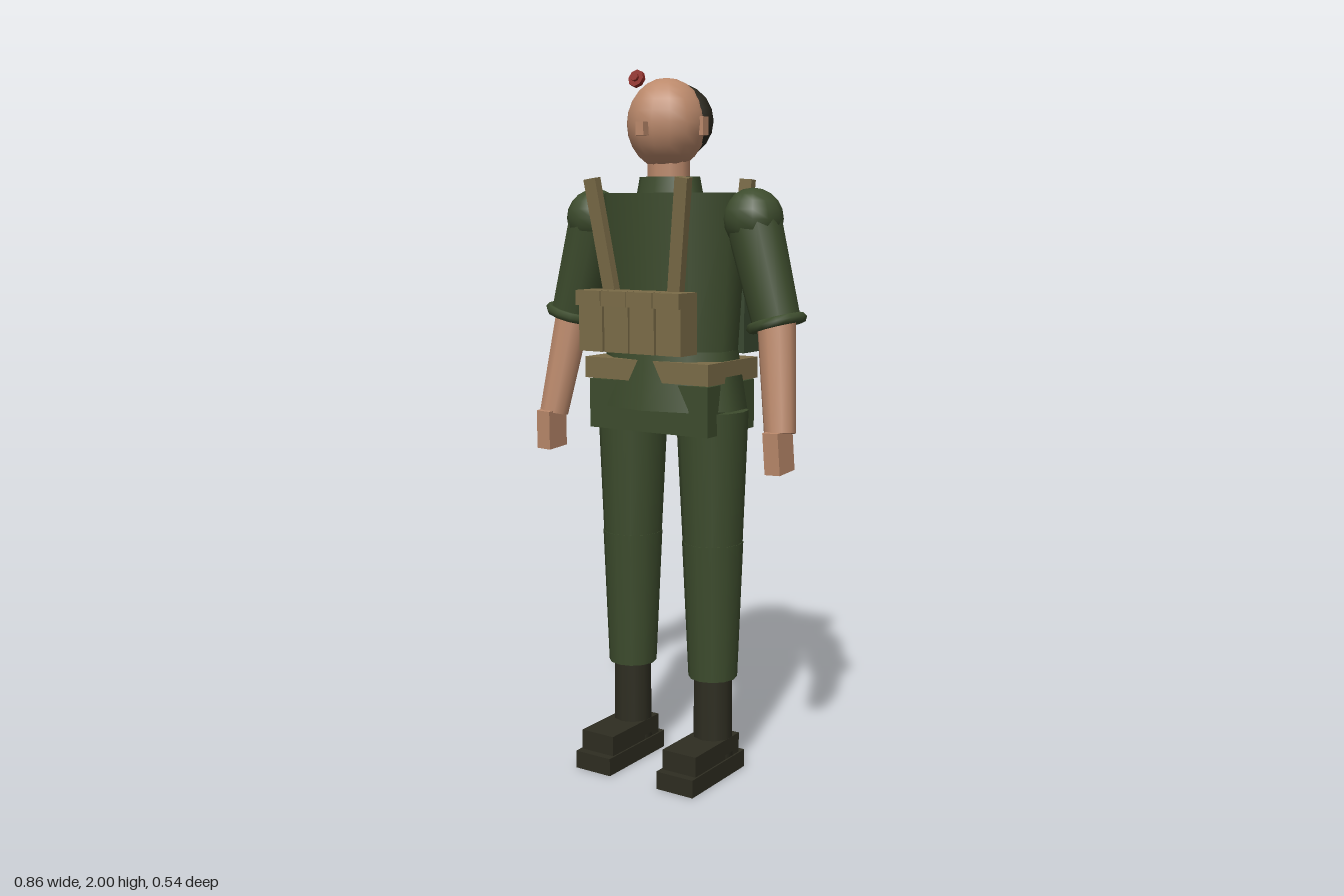
import * as THREE from 'three';

const mat = (name, color) => {
  const m = new THREE.MeshStandardMaterial({ color });
  m.name = name;
  return m;
};

export function createModel() {
  const model = new THREE.Group();
  model.name = 'soldier';

  const uniform = mat('uniform green', 0x3d4c2d);
  const packGreen = mat('pack green', 0x394830);
  const khaki = mat('webbing khaki', 0x7b6c48);
  const skin = mat('skin', 0xbc8a6c);
  const dark = mat('boot leather', 0x2e2d21);
  const hairMat = mat('hair', 0x2d2a20);
  const red = mat('badge red', 0x8c2a24);

  const CZ = 0.045; // body axis depth
  const UP = new THREE.Vector3(0, 1, 0);

  const add = (name, geo, material, x, y, z) => {
    const mesh = new THREE.Mesh(geo, material);
    mesh.name = name;
    mesh.position.set(x, y, z);
    model.add(mesh);
    return mesh;
  };

  const box = (name, material, w, h, d, x, y, z) =>
    add(name, new THREE.BoxGeometry(w, h, d), material, x, y, z);

  // Elliptical, tapered drum standing between two heights
  const drum = (name, material, top, bottom, y0, y1, z, seg = 10) => {
    const g = new THREE.CylinderGeometry(1, bottom[0] / top[0], y1 - y0, seg);
    g.scale(top[0], 1, top[1]);
    return add(name, g, material, 0, (y0 + y1) / 2, z);
  };

  const ellipsoid = (name, material, r, x, y, z, seg = 12, rows = 10) => {
    const g = new THREE.SphereGeometry(1, seg, rows);
    g.scale(...r);
    return add(name, g, material, x, y, z);
  };

  // Turns a part so that its y axis runs from b up to a
  const align = (mesh, a, b) => {
    const dir = new THREE.Vector3(...a).sub(new THREE.Vector3(...b)).normalize();
    mesh.quaternion.setFromUnitVectors(UP, dir);
    return mesh;
  };
  const mid = (a, b) => a.map((v, i) => (v + b[i]) / 2);
  const dist = (a, b) => Math.hypot(...a.map((v, i) => v - b[i]));

  const limb = (name, material, a, b, ra, rb, seg = 10) =>
    align(add(name, new THREE.CylinderGeometry(ra, rb, dist(a, b), seg), material, ...mid(a, b)), a, b);
  const strap = (name, a, b, w, d) =>
    align(box(name, khaki, w, dist(a, b), d, ...mid(a, b)), a, b);

  // Head
  ellipsoid('head', skin, [0.112, 0.125, 0.113], 0, 1.865, 0.07, 14, 12);
  ellipsoid('hair', hairMat, [0.114, 0.106, 0.102], 0, 1.875, 0.031, 10, 10);
  box('nose', skin, 0.026, 0.036, 0.035, 0, 1.847, 0.185);
  limb('neck', skin, [0, 1.78, 0.06], [0, 1.68, 0.06], 0.062, 0.062);

  // Small round badge ahead of the brow
  const tilt = 1.22;
  add('badge', new THREE.CylinderGeometry(0.024, 0.024, 0.012, 8), red, 0, 1.977, 0.213).rotation.x = tilt;
  add('badgeBoss', new THREE.CylinderGeometry(0.011, 0.011, 0.01, 8), red, 0, 1.98, 0.221).rotation.x = tilt;

  // Jacket
  drum('collar', uniform, [0.092, 0.07], [0.104, 0.08], 1.66, 1.72, 0.055);
  drum('torso', uniform, [0.235, 0.15], [0.203, 0.13], 1.19, 1.675, CZ);
  drum('jacketSkirt', uniform, [0.207, 0.137], [0.235, 0.156], 1.075, 1.24, CZ);
  box('hips', uniform, 0.4, 0.14, 0.25, 0, 1.08, CZ);
  box('belt', khaki, 0.416, 0.06, 0.265, 0, 1.184, 0.047);

  // Chest pouches with overhanging flaps
  for (const x of [-0.13, -0.043, 0.043, 0.13]) {
    box('pouch', khaki, 0.08, 0.165, 0.08, x, 1.322, 0.217);
    box('pouchFlap', khaki, 0.084, 0.042, 0.09, x, 1.388, 0.225);
  }

  // Backpack and canteen
  box('backpack', packGreen, 0.32, 0.31, 0.175, 0, 1.375, -0.177);
  box('backpackFlap', khaki, 0.33, 0.1, 0.188, 0, 1.573, -0.176);
  limb('canteen', packGreen, [0.188, 1.45, -0.17], [0.188, 1.285, -0.17], 0.055, 0.055, 8);

  for (const s of [-1, 1]) {
    const side = s > 0 ? 'left' : 'right';
    const P = (x, y, z) => [s * x, y, z];

    box(side + 'Ear', skin, 0.018, 0.05, 0.028, s * 0.112, 1.857, 0.058);

    // Shoulder straps
    strap(side + 'FrontStrap', P(0.152, 1.715, 0.216), P(0.103, 1.37, 0.184), 0.04, 0.026);
    strap(side + 'BackStrap', P(0.148, 1.715, -0.124), P(0.13, 1.4, -0.098), 0.04, 0.024);

    // Arm
    const shoulder = P(0.267, 1.605, 0.047);
    const elbow = P(0.347, 1.325, 0.052);
    const wrist = P(0.388, 1.03, 0.1);
    ellipsoid(side + 'Shoulder', uniform, [0.084, 0.084, 0.084], ...shoulder);
    limb(side + 'Sleeve', uniform, shoulder, elbow, 0.079, 0.068);
    const ring = new THREE.TorusGeometry(0.07, 0.015, 6, 12).rotateX(Math.PI / 2);
    align(add(side + 'Cuff', ring, uniform, ...elbow), shoulder, elbow);
    limb(side + 'Forearm', skin, elbow, wrist, 0.054, 0.044);
    const hand = box(side + 'Hand', skin, 0.047, 0.115, 0.082, s * 0.39, 0.983, 0.11);
    hand.rotation.set(0.06, 0, s * 0.04);

    // Leg
    limb(side + 'Thigh', uniform, P(0.137, 1.07, CZ), P(0.14, 0.66, CZ), 0.103, 0.085, 12);
    limb(side + 'Shin', uniform, P(0.14, 0.69, CZ), P(0.142, 0.29, CZ), 0.088, 0.071, 12);

    // Boot
    limb(side + 'BootShaft', dark, P(0.143, 0.3, CZ), P(0.143, 0.05, CZ), 0.057, 0.059, 10);
    box(side + 'BootFoot', dark, 0.112, 0.065, 0.235, s * 0.143, 0.078, 0.108);
    box(side + 'BootSole', dark, 0.122, 0.052, 0.282, s * 0.143, 0.026, 0.108);
  }

  return model;
}
